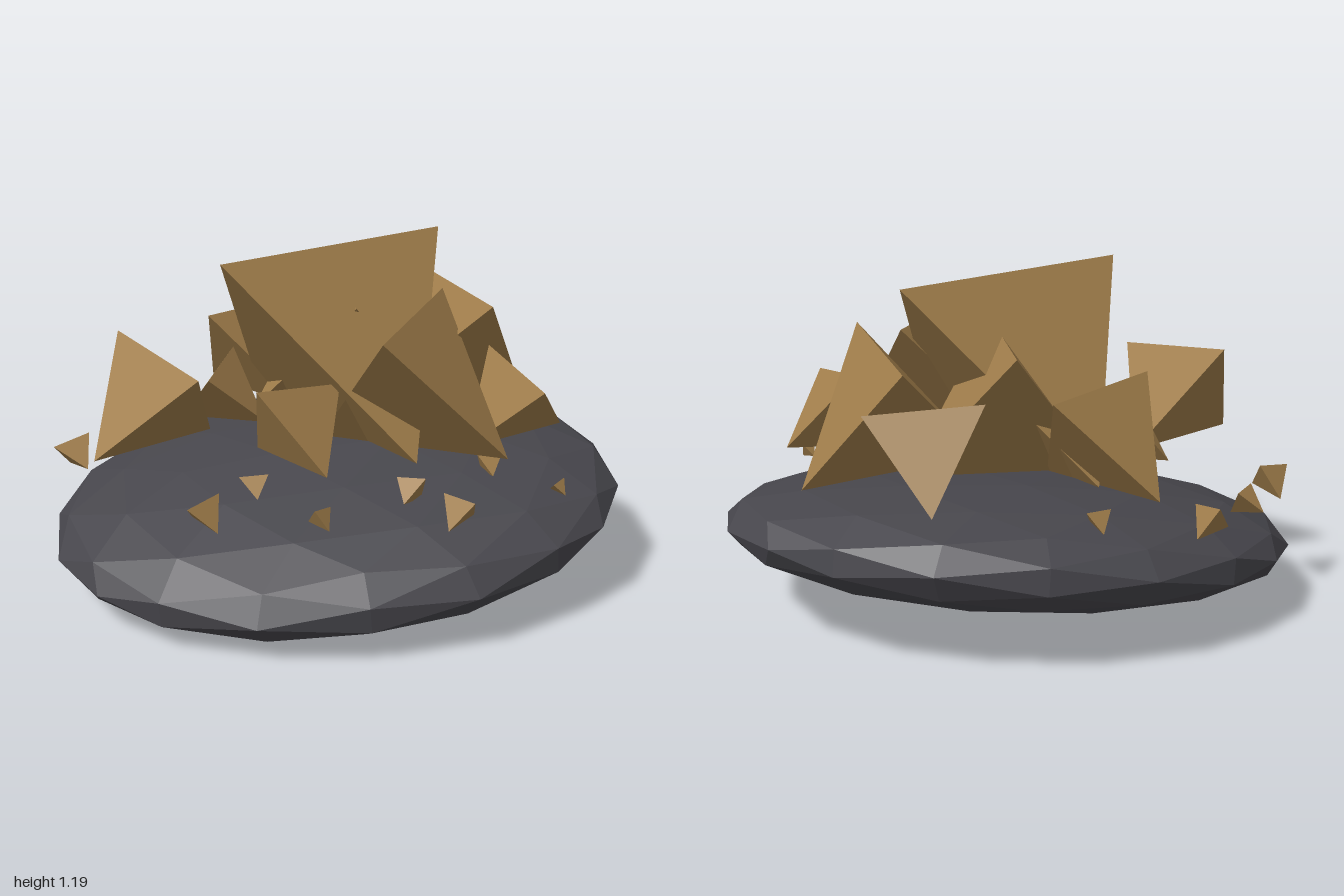
import * as THREE from 'three';

const V = (p) => new THREE.Vector3(...p);

export function createModel() {
  const model = new THREE.Group();
  const stone = new THREE.MeshStandardMaterial({ color: 0x47464c, flatShading: true });
  stone.name = 'darkStone';
  const ore = new THREE.MeshStandardMaterial({ color: 0xa17e4b, flatShading: true });
  ore.name = 'goldenOre';

  // Flattened, tilted boulder
  const boulder = new THREE.Mesh(new THREE.IcosahedronGeometry(1, 2), stone);
  boulder.name = 'baseStone';
  boulder.scale.set(1.005, 0.226, 0.77);
  boulder.rotation.set(0.13, 0.1, 0.073);
  boulder.position.y = 0.25;
  model.add(boulder);

  // Unit tetrahedron with its upper edge along x and its lower edge along z
  const shardGeometry = new THREE.TetrahedronGeometry(Math.sqrt(3 / 8)).rotateY(Math.PI / 4);

  // Regular tetrahedron hung from its upper edge a-b, rolled about that edge
  function shard(name, a, b, roll = 0) {
    const u = V(b).sub(V(a));
    const size = u.length();
    u.normalize();
    const side = u.clone().cross(new THREE.Vector3(0, 1, 0)).normalize();
    const up = side.clone().cross(u).applyAxisAngle(u, roll);
    side.crossVectors(u, up);
    const mesh = new THREE.Mesh(shardGeometry, ore);
    mesh.name = name;
    mesh.quaternion.setFromRotationMatrix(new THREE.Matrix4().makeBasis(u, up, side));
    mesh.position.copy(V(a)).add(V(b)).multiplyScalar(0.5).addScaledVector(up, -size / Math.SQRT2 / 2);
    mesh.scale.setScalar(size);
    model.add(mesh);
  }

  // Large crystals
  shard('centreCrystal', [-0.385, 1.18, 0.245], [0.37, 1.175, -0.27]);
  shard('frontCrystal', [0.12, 0.99, 0.52], [0.37, 1.0, -0.09]);
  shard('leftBackCrystal', [0.52, 0.985, 0.1], [0.366, 0.955, -0.51], 0.1);
  shard('backCrystal', [0.013, 1.005, -0.535], [0.06, 0.99, 0.12]);
  shard('rightCrystal', [-0.745, 0.89, 0.0], [-0.46, 0.83, 0.37]);
  shard('leftCrystal', [0.525, 0.82, 0.0], [0.665, 0.76, 0.34], 0.1);
  shard('rightBackCrystal', [-0.445, 0.875, -0.21], [-0.1, 0.86, -0.54]);
  shard('farBackCrystal', [0.11, 0.86, -0.52], [0.5, 0.815, -0.47], -0.25);
  shard('lowFrontCrystal', [-0.275, 0.82, 0.46], [0.0, 0.77, 0.24]);
  shard('lowRightCrystal', [-0.36, 0.76, -0.21], [-0.44, 0.73, 0.08]);

  // Small chips: centre x, y, z, edge length, heading
  [
    [-0.93, 0.43, -0.04, 0.14, 0.6],
    [-0.78, 0.43, -0.26, 0.12, 1.0],
    [-0.62, 0.43, -0.44, 0.13, -1.1],
    [-0.45, 0.43, 0.52, 0.13, 0.7],
    [-0.29, 0.44, 0.31, 0.1, 0.2],
    [-0.07, 0.43, 0.56, 0.085, 0.9],
    [0.23, 0.44, 0.36, 0.11, -0.6],
    [0.37, 0.43, 0.53, 0.13, -0.8],
    [0.51, 0.46, 0.2, 0.09, 0.3],
    [0.72, 0.44, 0.37, 0.06, 0.8],
    [-0.25, 0.47, -0.53, 0.09, 0.4],
    [-0.17, 0.47, 0.05, 0.09, 1.3],
  ].forEach(([x, y, z, size, turn], i) => {
    const dx = Math.cos(turn) * size / 2, dz = Math.sin(turn) * size / 2;
    const top = y + size * 0.35, tip = (i % 3 - 1) * size * 0.08;
    shard('chip' + (i + 1), [x - dx, top + tip, z + dz], [x + dx, top - tip, z - dz], (i % 2 - 0.5) * 0.3);
  });

  return model;
}
